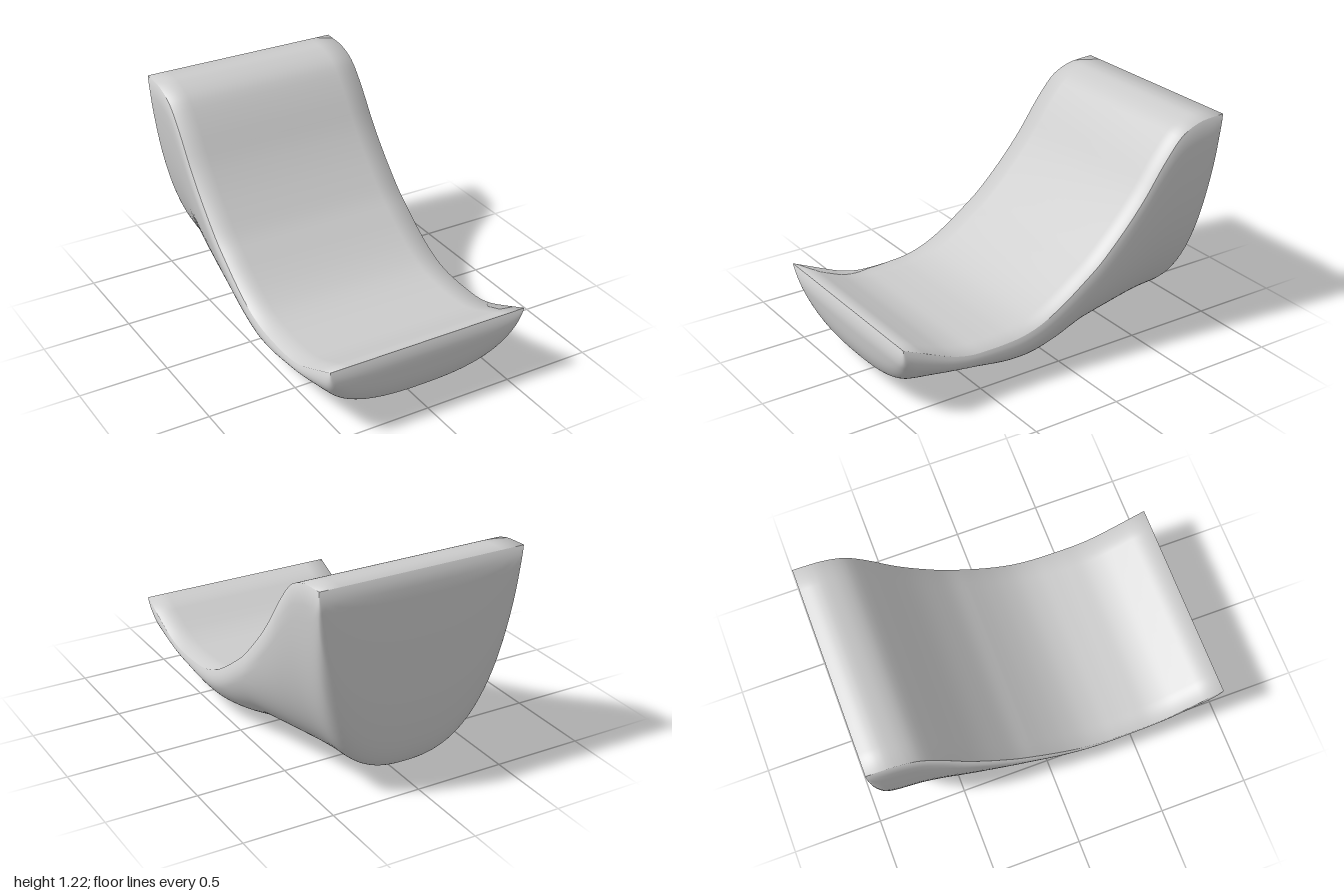
import * as THREE from 'three';

const HALF = 0.58, POWER = 2.5, COLS = 56, ROWS = 150;

// Side profiles as [z, y], front to back
const seatLine = [[1, .42], [.9, .375], [.8, .33], [.7, .29], [.6, .268], [.5, .264], [.4, .266], [.3, .275],
  [.2, .3], [.1, .345], [0, .405], [-.1, .475], [-.2, .55], [-.3, .645], [-.4, .75], [-.5, .87], [-.6, 1.01],
  [-.7, 1.13], [-.77, 1.18], [-.85, 1.208], [-.92, 1.216], [-1, 1.22]];
const keelLine = [[1, .42], [.996, .3], [.983, .2], [.955, .13], [.92, .1], [.87, .092], [.75, .09], [.65, .085],
  [.55, .07], [.45, .045], [.35, .02], [.25, .005], [.17, 0], [.1, .005], [0, .02], [-.1, .045], [-.18, .062],
  [-.3, .065], [-.5, .072], [-.7, .08], [-.82, .086], [-.88, .11], [-.92, .17], [-.95, .28], [-.977, .48],
  [-.99, .7], [-.998, .93], [-1, 1.22]];

const sample = (pts, n) => new THREE.SplineCurve(pts.map(p => new THREE.Vector2(...p))).getPoints(n);
const seatPts = sample(seatLine, 400);

// Height of the seat surface at z
function seatY(z) {
  let i = 1;
  while (i < seatPts.length - 1 && seatPts[i].x > z) i++;
  const a = seatPts[i - 1], b = seatPts[i];
  return THREE.MathUtils.mapLinear(z, a.x, b.x, a.y, b.y);
}

// Stations along the length: z, seat height and hull depth
const stations = sample(keelLine, ROWS).map(p => {
  const z = THREE.MathUtils.clamp(p.x, -1, 1), top = seatY(z);
  return { z, top, depth: Math.max(0, top - Math.max(0, p.y)) };
});

// Loft over the stations; the section is flat (seat) or a superellipse (hull)
function loft(isHull) {
  const pos = [], index = [], w = COLS + 1;
  stations.forEach(({ z, top, depth }) => {
    for (let j = 0; j <= COLS; j++) {
      const a = Math.PI * j / COLS, c = Math.cos(a);
      const x = HALF * Math.sign(c) * Math.abs(c) ** (2 / POWER);
      const drop = isHull ? depth * Math.max(0, Math.sin(a)) ** (2 / POWER) : 0;
      pos.push(x, top - drop, z);
    }
  });
  for (let i = 0; i < stations.length - 1; i++) for (let j = 0; j < COLS; j++) {
    const a = i * w + j, b = a + w, c = b + 1, d = a + 1;
    if (isHull) index.push(a, c, b, a, d, c);
    else index.push(a, b, c, a, c, d);
  }
  const g = new THREE.BufferGeometry();
  g.setAttribute('position', new THREE.Float32BufferAttribute(pos, 3));
  g.setIndex(index);
  g.computeVertexNormals();
  softenRim(g, isHull);
  return g;
}

// Tilt the normals near the rim so seat and hull shade softly into each other
function softenRim(g, isHull) {
  const p = g.attributes.position, n = g.attributes.normal, v = new THREE.Vector3();
  const near = (gap) => 0.6 * Math.max(0, 1 - gap / 0.12);
  for (let k = 0; k < p.count; k++) {
    v.fromBufferAttribute(n, k);
    const x = p.getX(k), z = p.getZ(k);
    if (isHull) v.y += near(seatY(z) - p.getY(k));
    else {
      v.x += Math.sign(x) * near(HALF - Math.abs(x));
      v.z += Math.sign(z) * near(1 - Math.abs(z));
    }
    v.normalize();
    n.setXYZ(k, v.x, v.y, v.z);
  }
}

export function createModel() {
  const group = new THREE.Group();
  group.name = 'loungeChair';
  const material = new THREE.MeshStandardMaterial({ color: 0xcccccc, side: THREE.DoubleSide });
  for (const [name, isHull] of [['seatSurface', false], ['roundedUnderside', true]]) {
    const mesh = new THREE.Mesh(loft(isHull), material);
    mesh.name = name;
    group.add(mesh);
  }
  return group;
}
